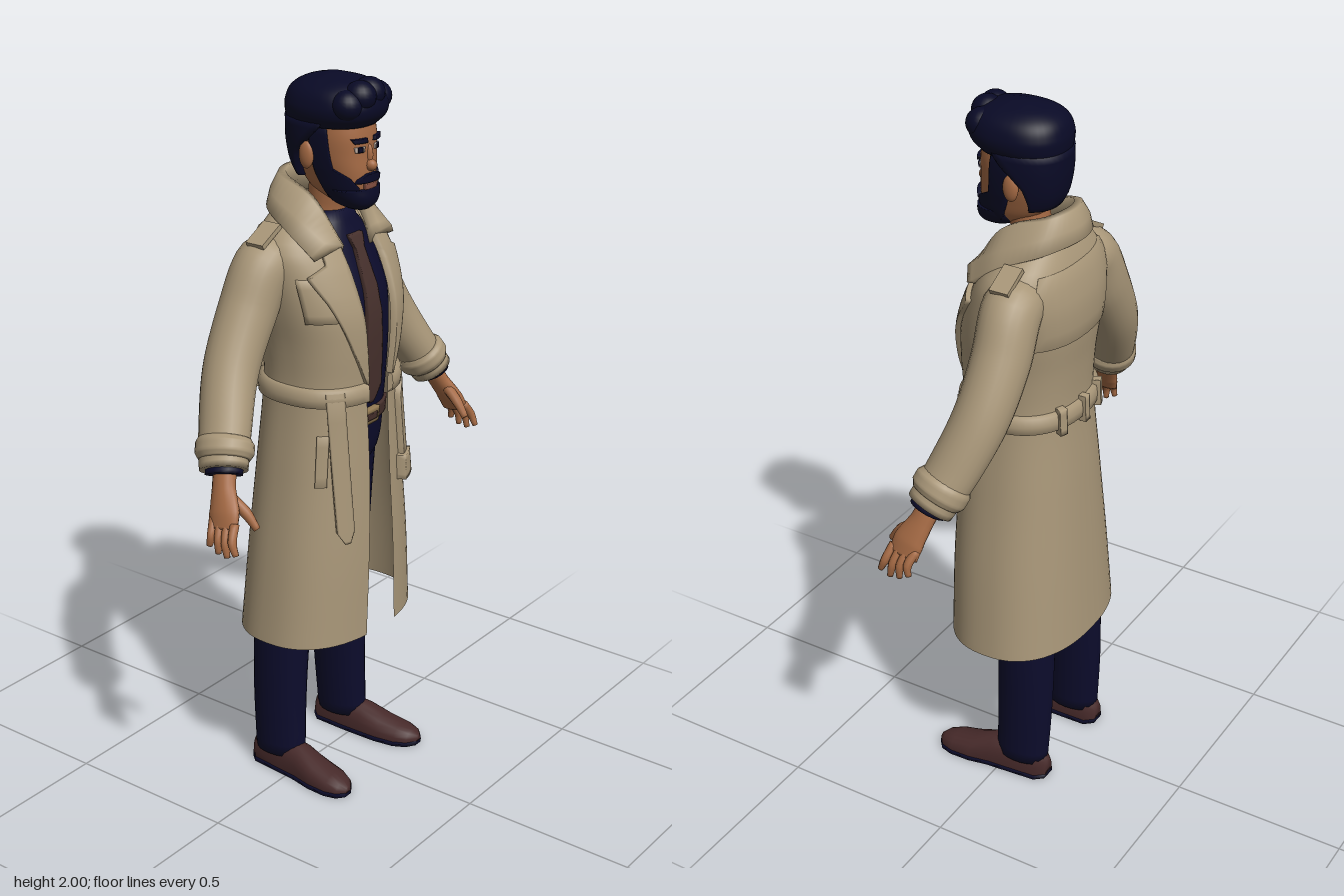
import * as THREE from 'three';

const paint = (name, color) => new THREE.MeshStandardMaterial({ name, color, side: THREE.DoubleSide });
const V = (x, y, z) => new THREE.Vector3(x, y, z);
const spow = (v) => Math.sign(v) * Math.abs(v) ** 0.85;

// Skins a list of rings; wrapped rings are closed and capped at both ends.
function loft(rings, wrap = true) {
  const n = rings[0].length, pos = rings.flat().flatMap((p) => [p.x, p.y, p.z]), idx = [];
  for (let i = 0; i < rings.length - 1; i++) {
    for (let j = 0; j < (wrap ? n : n - 1); j++) {
      const a = i * n + j, b = i * n + (j + 1) % n;
      idx.push(a, b, a + n, b, b + n, a + n);
    }
  }
  if (wrap) {
    [0, rings.length - 1].forEach((r) => {
      const c = rings[r].reduce((s, p) => s.add(p), V(0, 0, 0)).divideScalar(n);
      const k = pos.length / 3;
      pos.push(c.x, c.y, c.z);
      for (let j = 0; j < n; j++) {
        const a = r * n + j, b = r * n + (j + 1) % n;
        idx.push(...(r ? [a, b, k] : [b, a, k]));
      }
    });
    // turn the faces outward
    const P = (i) => V(pos[3 * i], pos[3 * i + 1], pos[3 * i + 2]);
    let vol = 0;
    for (let i = 0; i < idx.length; i += 3) vol += P(idx[i]).dot(P(idx[i + 1]).cross(P(idx[i + 2])));
    if (vol < 0) idx.reverse();
  }
  const g = new THREE.BufferGeometry();
  g.setAttribute('position', new THREE.Float32BufferAttribute(pos, 3));
  g.setIndex(idx);
  g.computeVertexNormals();
  return g;
}

// Smoothly reads a table of rows [y, halfWidth, zFront, zBack, gap].
function at(T, y) {
  const L = T.length - 1;
  let i = 0;
  while (i < L - 1 && y > T[i + 1][0]) i++;
  const h = T[i + 1][0] - T[i][0], t = Math.min(1, Math.max(0, (y - T[i][0]) / h));
  const slope = (k, j) => {
    const a = T[Math.max(0, k - 1)], b = T[Math.min(L, k + 1)];
    return (b[j] - a[j]) / (b[0] - a[0]);
  };
  return T[i].map((v, j) => v * (1 + 2 * t) * (1 - t) ** 2 + T[i + 1][j] * t * t * (3 - 2 * t)
    + h * (slope(i, j) * t * (1 - t) ** 2 + slope(i + 1, j) * t * t * (t - 1)));
}
function surf(T, y, a, lift = 0) {
  const [, hw, zf, zb] = at(T, y);
  return V((hw + lift) * spow(Math.sin(a)), y, (zf + zb) / 2 + ((zf - zb) / 2 + lift) * spow(Math.cos(a)));
}
const angle = (T, y, x) => Math.sign(x) * Math.asin(Math.min(1, (Math.abs(x) / at(T, y)[1]) ** (1 / 0.85)));

function body(T, rows = 30, n = 40) {
  const y0 = T[0][0], y1 = T[T.length - 1][0];
  return loft(Array.from({ length: rows + 1 }, (_, i) => Array.from({ length: n }, (_, j) =>
    surf(T, y0 + (y1 - y0) * i / rows, j / n * Math.PI * 2))));
}
// Raised panel lying on a body; rows are [y, angle, angle].
function panel(T, rows, lift, n = 10) {
  const fine = [rows[0]];
  rows.slice(1).forEach((r, i) => {
    for (let k = 1; k <= 5; k++) fine.push(r.map((v, j) => rows[i][j] + (v - rows[i][j]) * k / 5));
  });
  const line = ([y, a, b], flat) => Array.from({ length: n + 3 }, (_, j) => surf(T, y,
    a + (b - a) * Math.min(1, Math.max(0, (j - 1) / n)), flat || j === 0 || j === n + 2 ? -0.004 : lift));
  return loft([line(fine[0], true), ...fine.map((r) => line(r)), line(fine[fine.length - 1], true)], false);
}
// Panel whose edges are given as x positions on the front or the back.
const xPanel = (T, rows, lift, back) => panel(T, rows.map(([y, a, b]) => [y, ...[a, b].map((x) =>
  (back ? Math.PI - angle(T, y, x) : angle(T, y, x)))]), lift);

// Limb along a smooth path; points are [x, y, z, r1, r2].
function limb(pts, steps = 20, n = 16) {
  const path = new THREE.CatmullRomCurve3(pts.map((p) => V(p[0], p[1], p[2])));
  return loft(Array.from({ length: steps + 1 }, (_, i) => {
    const u = i / steps, f = u * (pts.length - 1), k = Math.min(pts.length - 2, Math.floor(f)), m = f - k;
    const rad = (q) => pts[k][q] * (1 - m) + pts[k + 1][q] * m;
    const c = path.getPoint(u), t = path.getTangent(u);
    const e = t.clone().cross(V(0, 0, 1)).normalize(), b = e.clone().cross(t);
    return Array.from({ length: n }, (_, j) => {
      const a = j / n * Math.PI * 2;
      return c.clone().addScaledVector(e, rad(3) * Math.cos(a)).addScaledVector(b, rad(4) * Math.sin(a));
    });
  }));
}

const COAT = [[0.46, 0.27, 0.188, -0.2, 0.065], [0.7, 0.245, 0.187, -0.185, 0.055], [0.95, 0.212, 0.178, -0.168, 0.045],
  [1.18, 0.186, 0.168, -0.152, 0.048], [1.3, 0.19, 0.172, -0.156, 0.06], [1.4, 0.205, 0.165, -0.166, 0.072],
  [1.5, 0.215, 0.13, -0.168, 0.075], [1.57, 0.21, 0.09, -0.152, 0.07], [1.62, 0.165, 0.055, -0.135, 0.065], [1.66, 0.105, 0.03, -0.115, 0.06]];
const SHIRT = [[0.88, 0.1, 0.06, -0.1], [0.95, 0.16, 0.11, -0.13], [1.1, 0.16, 0.135, -0.13], [1.3, 0.165, 0.148, -0.13],
  [1.42, 0.165, 0.142, -0.14], [1.5, 0.15, 0.115, -0.13], [1.57, 0.13, 0.088, -0.1], [1.62, 0.075, 0.07, -0.07], [1.645, 0.062, 0.064, -0.055]];
const HEAD = [[1.67, 0.035, 0.115, 0.03], [1.7, 0.06, 0.132, -0.03], [1.75, 0.076, 0.138, -0.07], [1.8, 0.086, 0.135, -0.085],
  [1.86, 0.09, 0.132, -0.09], [1.92, 0.08, 0.115, -0.085], [1.96, 0.05, 0.08, -0.05]];
const HAIR = [[1.875, 0.098, 0.132, -0.1], [1.9, 0.112, 0.157, -0.105], [1.93, 0.114, 0.163, -0.105],
  [1.965, 0.098, 0.148, -0.09], [1.987, 0.065, 0.11, -0.055], [2, 0.02, 0.06, 0]];
const BEARD = [[1.657, 0.025, 0.128, 0.07], [1.67, 0.048, 0.143, 0.04], [1.69, 0.064, 0.149, 0.015], [1.714, 0.073, 0.146, 0.01]];

export function createModel() {
  const model = new THREE.Group();
  const coat = paint('coat tan', 0xa99779), navy = paint('navy cloth', 0x0c0c2c), hair = paint('dark hair', 0x090a26);
  const skin = paint('skin', 0xa56a44), brown = paint('tie brown', 0x46302c), leather = paint('shoe leather', 0x472a2a);
  const gold = paint('buckle metal', 0x8f7650), white = paint('eye white', 0xb9aaa0), lip = paint('lips', 0x8c5545);
  const add = (name, geo, mat, x = 0, y = 0, z = 0) => {
    const m = new THREE.Mesh(geo, mat);
    m.name = name;
    m.position.set(x, y, z);
    model.add(m);
    return m;
  };
  const ball = (name, mat, x, y, z, a, b, c) => add(name, new THREE.SphereGeometry(1, 20, 14), mat, x, y, z).scale.set(a, b, c);

  // open coat and its tied belt
  const wrapRow = (y, lift) => {
    const a0 = angle(COAT, y, at(COAT, y)[4]);
    return Array.from({ length: 57 }, (_, j) => surf(COAT, y, a0 + (2 * Math.PI - 2 * a0) * j / 56, lift));
  };
  add('coatBody', loft(Array.from({ length: 49 }, (_, i) => wrapRow(0.46 + 1.2 * i / 48, 0)), false), coat);
  add('coatBelt', loft([[1.145, 0], [1.15, 0.012], [1.172, 0.015], [1.195, 0.012], [1.2, 0]].map((r) => wrapRow(...r)), false), coat);
  add('beltTailLeft', xPanel(COAT, [[0.93, 0.105, 0.14], [1.12, 0.095, 0.13], [1.19, 0.13, 0.165]], 0.016), coat);
  add('beltEndLeft', xPanel(COAT, [[0.875, 0.09, 0.155], [0.945, 0.09, 0.15]], 0.024), coat);
  add('beltTailRight', xPanel(COAT, [[0.765, -0.14, -0.125], [0.8, -0.158, -0.112], [1.19, -0.155, -0.118]], 0.014), coat);
  add('stormFlap', xPanel(COAT, [[1.385, -0.19, -0.09], [1.5, -0.2, -0.09]], 0.009), coat);
  add('backYoke', xPanel(COAT, [[1.4, -0.17, 0.17], [1.6, -0.15, 0.15]], 0.006, true), coat);
  for (const x of [-0.09, 0, 0.09]) {
    add('beltLoop', xPanel(COAT, [[1.135, x - 0.011, x + 0.011], [1.21, x - 0.011, x + 0.011]], 0.022, true), coat);
  }

  // turned-up collar sweeping round the back of the neck
  const sweep = (half) => new THREE.CatmullRomCurve3([...half, ...half.slice(0, -1).reverse().map(([x, y, z]) => [-x, y, z])].map((q) => V(...q)));
  const edges = [
    [[0.06, 1.54, 0.09], [0.08, 1.64, 0.02], [0.06, 1.69, -0.075], [0, 1.7, -0.095]],
    [[0.065, 1.57, 0.102], [0.084, 1.69, 0.02], [0.066, 1.733, -0.085], [0, 1.742, -0.112]],
    [[0.085, 1.578, 0.112], [0.102, 1.693, 0.02], [0.08, 1.732, -0.1], [0, 1.74, -0.13]],
    [[0.135, 1.58, 0.11], [0.145, 1.645, 0.01], [0.107, 1.69, -0.107], [0, 1.7, -0.15]],
    [[0.172, 1.55, 0.09], [0.17, 1.61, 0], [0.12, 1.65, -0.11], [0, 1.665, -0.158]],
    [[0.15, 1.54, 0.07], [0.15, 1.6, -0.01], [0.1, 1.64, -0.1], [0, 1.65, -0.14]]].map(sweep);
  add('collar', loft(Array.from({ length: 41 }, (_, i) => edges.map((c) => c.getPoint(i / 40)))), coat);

  // shirt, tie and trouser belt
  add('shirt', body(SHIRT), navy);
  add('tie', xPanel(SHIRT, [[1.125, -0.008, 0.008], [1.17, -0.038, 0.038], [1.52, -0.02, 0.02], [1.55, -0.018, 0.018], [1.585, -0.027, 0.027]], 0.011), brown);
  add('trouserBelt', xPanel(SHIRT, [[1.065, -0.12, 0.12], [1.105, -0.12, 0.12]], 0.008), brown);
  add('beltBuckle', xPanel(SHIRT, [[1.063, -0.032, 0.032], [1.107, -0.032, 0.032]], 0.016), gold);
  add('buckleCentre', xPanel(SHIRT, [[1.075, -0.02, 0.02], [1.095, -0.02, 0.02]], 0.019), brown);

  // head and face
  add('neck', limb([[0, 1.58, -0.01, 0.054, 0.055], [0, 1.66, 0, 0.052, 0.054], [0, 1.75, 0.015, 0.056, 0.06]]), skin);
  add('head', body(HEAD), skin);
  ball('nose', skin, 0, 1.775, 0.138, 0.015, 0.016, 0.018);
  ball('noseBridge', skin, 0, 1.8, 0.131, 0.01, 0.03, 0.013);
  add('hairTop', body(HAIR), hair);
  add('hairBack', panel(HEAD, [[1.735, 2.2, 4.08], [1.8, 1.95, 4.33], [1.89, 1.3, 4.98]], 0.018, 24), hair);
  for (const [x, y, z] of [[-0.065, 1.935, 0.11], [-0.03, 1.955, 0.125], [0.012, 1.958, 0.122], [0.058, 1.94, 0.11]]) {
    ball('hairLock', hair, x, y, z, 0.042, 0.04, 0.042);
  }
  add('chinBeard', body(BEARD, 12), hair);
  add('moustache', xPanel(HEAD, [[1.732, -0.046, 0.046], [1.742, -0.042, 0.042], [1.755, -0.018, 0.018]], 0.01), hair);
  add('mouth', xPanel(HEAD, [[1.714, -0.022, 0.022], [1.73, -0.025, 0.025]], 0.008), lip);

  for (const s of [1, -1]) {
    const side = s > 0 ? 'Left' : 'Right';
    const mx = (rows) => rows.map(([y, a, b]) => [y, s * a, s * b]);
    const mp = (pts) => pts.map(([x, ...r]) => [s * x, ...r]);

    // facial features
    add('cheekBeard' + side, panel(HEAD, mx([[1.69, 0.5, 1.6], [1.72, 0.5, 1.6], [1.745, 0.75, 1.62], [1.77, 1.2, 1.62], [1.88, 1.25, 1.62]]), 0.008), hair);
    add('brow' + side, xPanel(HEAD, mx([[1.836, 0.014, 0.05], [1.848, 0.016, 0.058]]), 0.008), hair);
    add('eye' + side, xPanel(HEAD, mx([[1.812, 0.022, 0.047], [1.826, 0.02, 0.05]]), 0.003), white);
    add('pupil' + side, xPanel(HEAD, mx([[1.812, 0.029, 0.041], [1.826, 0.029, 0.041]]), 0.006), hair);
    ball('ear' + side, skin, s * 0.096, 1.8, 0.004, 0.013, 0.036, 0.022);

    // lapel, shoulder strap and pocket welt
    add('lapel' + side, xPanel(COAT, mx([[1.2, 0.048, 0.056], [1.3, 0.058, 0.1], [1.44, 0.07, 0.155], [1.505, 0.072, 0.182], [1.53, 0.072, 0.135], [1.58, 0.068, 0.125]]), 0.013), coat);
    add('shoulderStrap' + side, new THREE.BoxGeometry(0.085, 0.014, 0.055), coat, s * 0.205, 1.603, -0.05).rotation.z = -s * 0.5;
    add('pocketWelt' + side, xPanel(COAT, mx([[0.93, 0.17, 0.19], [1.07, 0.155, 0.175]]), 0.006), coat);

    // sleeve with cuff strap
    add('sleeve' + side, limb(mp([[0.11, 1.53, -0.05, 0.06, 0.07], [0.19, 1.52, -0.058, 0.08, 0.08], [0.26, 1.405, -0.065, 0.08, 0.078],
      [0.34, 1.275, -0.055, 0.072, 0.075], [0.415, 1.145, -0.015, 0.062, 0.072], [0.468, 1.055, 0.022, 0.057, 0.066]]), 36, 24), coat);
    add('cuff' + side, limb(mp([[0.426, 1.125, -0.004, 0.06, 0.07], [0.434, 1.112, 0, 0.07, 0.08], [0.447, 1.09, 0.008, 0.07, 0.08], [0.455, 1.077, 0.013, 0.06, 0.07]]), 12, 24), coat);
    add('cuffLining' + side, limb(mp([[0.46, 1.07, 0.018, 0.045, 0.052], [0.472, 1.045, 0.026, 0.045, 0.052]]), 4), navy);

    // hand
    add('palm' + side, limb(mp([[0.462, 1.06, 0.022, 0.026, 0.032], [0.486, 1.015, 0.037, 0.023, 0.034], [0.513, 0.962, 0.06, 0.021, 0.046], [0.529, 0.925, 0.068, 0.015, 0.044]])), skin);
    for (let i = 0; i < 4; i++) {
      const z = 0.101 - i * 0.023, drop = [0.012, 0, 0.004, 0.018][i];
      add('finger' + side, limb(mp([[0.522, 0.945, z, 0.012, 0.013], [0.547, 0.9 + drop / 2, z + 0.012, 0.012, 0.012],
        [0.55, 0.862 + drop, z + 0.026 - i * 0.006, 0.008, 0.008]]), 8, 10), skin);
    }
    add('thumb' + side, limb(mp([[0.49, 1.0, 0.06, 0.014, 0.016], [0.482, 0.965, 0.105, 0.015, 0.015], [0.477, 0.925, 0.138, 0.009, 0.01]]), 10, 10), skin);

    // trouser leg
    add('trouserLeg' + side, limb(mp([[0.09, 1.0, -0.025, 0.085, 0.11], [0.115, 0.75, -0.05, 0.08, 0.1], [0.13, 0.46, -0.062, 0.07, 0.086],
      [0.14, 0.25, -0.064, 0.06, 0.084], [0.147, 0.05, -0.058, 0.052, 0.08]]), 24, 24), navy);

    // shoe upper and sole, stations are [z, centre, half width, height]
    const shoe = [[-0.145, 0.147, 0.02, 0.06], [-0.12, 0.147, 0.042, 0.085], [-0.03, 0.15, 0.047, 0.095], [0.03, 0.153, 0.049, 0.088],
      [0.09, 0.16, 0.054, 0.064], [0.15, 0.166, 0.05, 0.052], [0.185, 0.17, 0.036, 0.042], [0.203, 0.173, 0.012, 0.028]];
    add('shoe' + side, loft(shoe.map(([z, c, w, h]) => Array.from({ length: 20 }, (_, j) => {
      const a = j / 20 * Math.PI * 2;
      return V(s * (c + w * Math.cos(a)), 0.01 + (h - 0.01) * Math.max(0, Math.sin(a)) ** 0.8, z);
    }))), leather);
    add('sole' + side, loft(shoe.map(([z, c, w]) => [[1, 0], [1, 0.013], [-1, 0.013], [-1, 0]].map(([k, y]) => V(s * (c + k * (w + 0.002)), y, z)))), navy);
  }
  return model;
}
